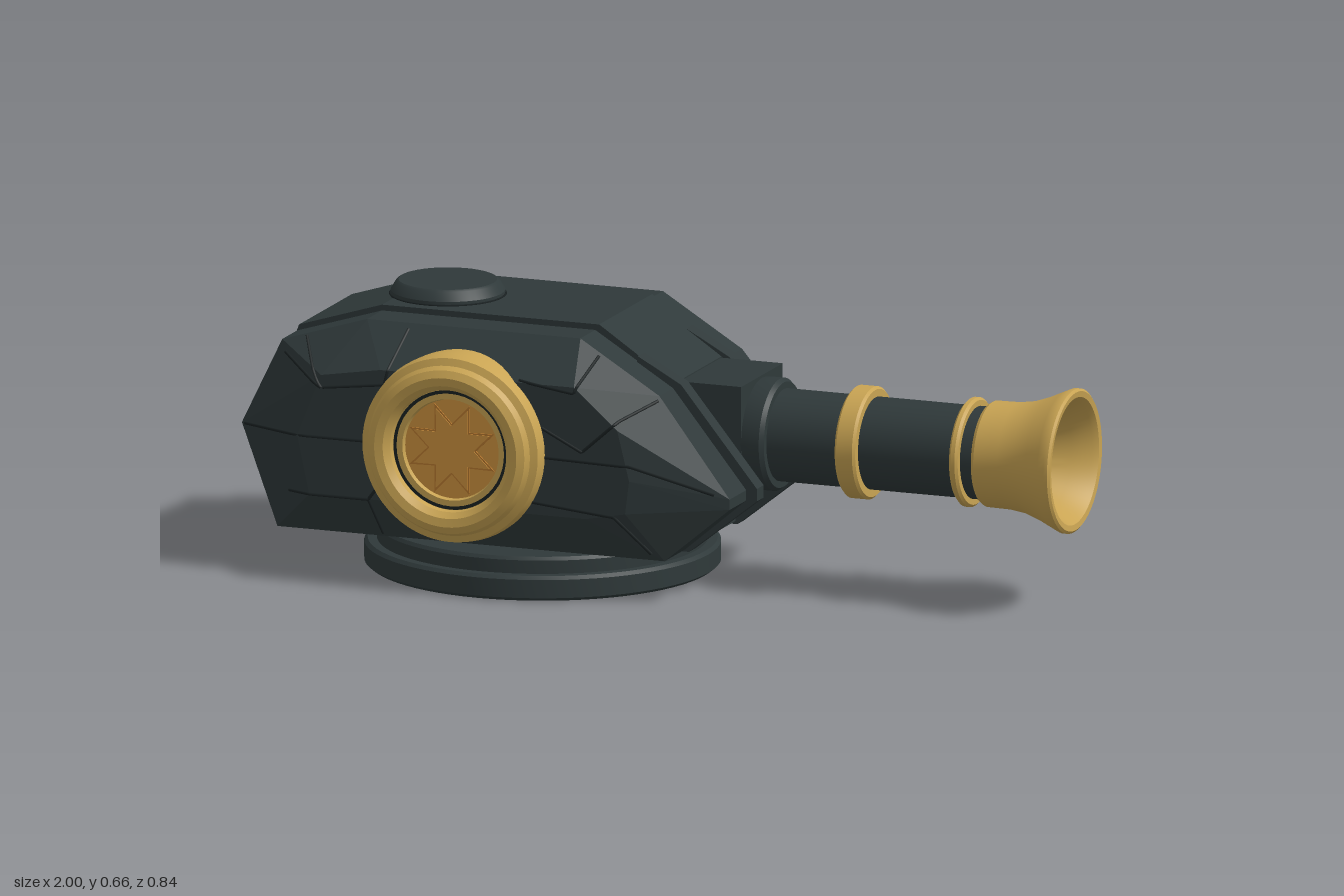
import * as THREE from 'three';
import { ConvexGeometry } from 'three/addons/geometries/ConvexGeometry.js';
import { toCreasedNormals } from 'three/addons/utils/BufferGeometryUtils.js';

const mat = (name, color) => new THREE.MeshStandardMaterial({ name, color });

export function createModel() {
  const root = new THREE.Group();
  root.name = 'cannonTurret';
  const dark = mat('darkSteel', 0x2f393a);
  const seamDark = mat('seamShade', 0x1b2223);
  const gold = mat('gold', 0xc9a453);
  const orange = mat('amber', 0xcf933f);
  const amberDark = mat('deepAmber', 0xb97a30);

  const add = (name, geo, material, parent = root) => {
    const mesh = new THREE.Mesh(geo, material);
    mesh.name = name;
    parent.add(mesh);
    return mesh;
  };
  const lathe = (pts, seg = 64) => toCreasedNormals(
    new THREE.LatheGeometry(pts.map(([r, h]) => new THREE.Vector2(r, h)), seg), 0.5);
  const slab = (pts, z0, z1) => new THREE.ExtrudeGeometry(
    new THREE.Shape(pts.map(([x, y]) => new THREE.Vector2(x, y))),
    { depth: z1 - z0, bevelEnabled: false }).translate(0, 0, z0);
  const box = (x0, x1, y0, y1, w) => new THREE.BoxGeometry(x1 - x0, y1 - y0, w)
    .translate((x0 + x1) / 2, (y0 + y1) / 2, 0);

  // Stepped round base
  add('base', lathe([[0, 0], [0.41, 0], [0.42, 0.008], [0.42, 0.052], [0.412, 0.06], [0.39, 0.06],
    [0.39, 0.092], [0.384, 0.1], [0, 0.1]], 72).translate(-0.35, 0, 0), dark);

  // Central spine, slightly proud of the side armour, open below the barrel
  add('spine', slab([[-0.985, 0.34], [-0.87, 0.12], [-0.84, 0.1], [0.05, 0.1], [0.05, 0.5],
    [-0.14, 0.626], [-0.69, 0.626], [-0.9, 0.56]], -0.168, 0.168), dark);

  // Faceted side armour: inner outline, shoulder outline and flat outer face
  const outline = [[-1, 0.34], [-0.905, 0.545], [-0.69, 0.612], [-0.15, 0.612], [0.05, 0.49],
    [0.235, 0.26], [0.235, 0.235], [0.08, 0.103], [-0.9, 0.103]];
  const outerFace = [[-0.83, 0.34], [-0.77, 0.49], [-0.62, 0.515], [-0.13, 0.515], [-0.02, 0.42],
    [0.01, 0.3], [0, 0.22], [-0.1, 0.2], [-0.8, 0.2]];
  const hullPoints = sign => [
    ...outline.map(([x, y]) => new THREE.Vector3(x, y, sign * 0.155)),
    ...outline.map(([x, y]) => new THREE.Vector3(x, y, sign * (y < 0.15 ? 0.305 : y > 0.45 ? 0.262 : 0.28))),
    ...outerFace.map(([x, y]) => new THREE.Vector3(x, y, sign * 0.355)),
  ];
  const rail = [[-0.04, 0.56], [0.07, 0.5], [0.262, 0.265], [0.262, 0.235], [0.09, 0.098], [-0.1, 0.1]];
  const seams = [
    [[-0.99, 0.34], [-0.64, 0.34]],
    [[-0.21, 0.34], [0.01, 0.335], [0.2, 0.27]],
    [[-0.84, 0.56], [-0.77, 0.46], [-0.61, 0.48], [-0.58, 0.6]],
    [[-0.89, 0.52], [-0.77, 0.46]],
    [[-0.27, 0.52], [-0.13, 0.5], [-0.1, 0.575]],
    [[-0.21, 0.41], [-0.11, 0.36], [-0.02, 0.44], [0.05, 0.48]],
    [[-0.62, 0.24], [-0.65, 0.2], [-0.63, 0.11]],
    [[-0.86, 0.2], [-0.65, 0.2]],
    [[-0.24, 0.23], [-0.03, 0.21], [0.05, 0.12]],
  ];
  for (const sign of [1, -1]) {
    const side = sign > 0 ? 'front' : 'back';
    const armour = add(side + 'Armour', new ConvexGeometry(hullPoints(sign)), dark);
    add(side + 'NoseRail', slab(rail, sign > 0 ? 0.132 : -0.175, sign > 0 ? 0.175 : -0.132), dark);

    // Panel seams laid onto the armour surface
    const ray = new THREE.Raycaster();
    for (const line of seams) {
      const pts = [];
      for (let i = 0; i + 1 < line.length; i++) {
        const [a, b] = [line[i], line[i + 1]];
        for (let k = 0; k <= 10; k++) {
          if (i && !k) continue;
          const t = k / 10;
          ray.set(new THREE.Vector3(a[0] + (b[0] - a[0]) * t, a[1] + (b[1] - a[1]) * t, sign),
            new THREE.Vector3(0, 0, -sign));
          const hit = ray.intersectObject(armour)[0];
          if (hit) pts.push(hit.point);
        }
      }
      if (pts.length < 2) continue;
      const path = new THREE.CurvePath();
      for (let i = 0; i + 1 < pts.length; i++) path.add(new THREE.LineCurve3(pts[i], pts[i + 1]));
      add(side + 'Seam', new THREE.TubeGeometry(path, pts.length * 2, 0.004, 5), seamDark);
    }

    // Round side medallion with a star
    const medal = new THREE.Group();
    medal.name = side + 'Medallion';
    medal.position.set(-0.43, 0.345, 0);
    if (sign < 0) medal.rotation.y = Math.PI;
    root.add(medal);
    add('medallionRing', lathe([[0.225, 0.3], [0.227, 0.36], [0.222, 0.388], [0.205, 0.395], [0.197, 0.41],
      [0.18, 0.419], [0.16, 0.415], [0.147, 0.4], [0.145, 0.385], [0.138, 0.385], [0.122, 0.385], [0.118, 0.37]])
      .rotateX(Math.PI / 2), gold, medal);
    add('medallionGroove', new THREE.RingGeometry(0.136, 0.144, 48).translate(0, 0, 0.3865), seamDark, medal);
    add('medallionDisc', new THREE.CircleGeometry(0.121, 48).translate(0, 0, 0.374), orange, medal);
    const star = (r, inner) => Array.from({ length: 16 }, (_, i) => {
      const q = i % 2 ? inner : r, a = i * Math.PI / 8 + Math.PI / 8;
      return [q * Math.cos(a), q * Math.sin(a)];
    });
    add('starOutline', slab(star(0.116, 0.061), 0.373, 0.377), amberDark, medal);
    add('star', slab(star(0.104, 0.056), 0.374, 0.379), orange, medal);
  }

  // Roof hatch
  add('hatch', lathe([[0.135, 0.615], [0.135, 0.636], [0.122, 0.657], [0.116, 0.661], [0, 0.661]], 48)
    .translate(-0.59, 0, 0), dark);
  add('hatchSeam', new THREE.TorusGeometry(0.136, 0.003, 5, 48).rotateX(Math.PI / 2)
    .translate(-0.59, 0.627, 0), seamDark);

  // Barrel housing and lower nose plate
  add('barrelHousing', box(0, 0.205, 0.24, 0.497, 0.264), dark);
  add('lowerNosePlate', box(0, 0.085, 0.105, 0.18, 0.27), dark);

  // Barrel parts turned around the x axis
  const turned = (name, pts, material) =>
    add(name, lathe(pts).rotateZ(-Math.PI / 2).translate(0, 0.358, 0), material);
  turned('barrelCollar', [[0, 0.19], [0.13, 0.19], [0.134, 0.215], [0.134, 0.25], [0.126, 0.26], [0.1, 0.26]], dark);
  turned('barrel', [[0.11, 0.2], [0.11, 0.85], [0, 0.85]], dark);
  const band = (name, x0, x1, r) => turned(name,
    [[0.1, x0], [r - 0.006, x0], [r, x0 + 0.006], [r, x1 - 0.006], [r - 0.006, x1], [0.1, x1]], gold);
  band('wideBand', 0.44, 0.492, 0.134);
  band('narrowBand', 0.728, 0.75, 0.13);
  turned('muzzle', [[0.1, 0.782], [0.121, 0.782], [0.126, 0.79], [0.127, 0.85], [0.133, 0.89], [0.147, 0.93],
    [0.164, 0.967], [0.172, 0.985], [0.172, 0.995], [0.166, 1], [0.152, 0.998], [0.142, 0.985], [0.122, 0.94],
    [0.104, 0.89], [0.092, 0.845]], gold);
  return root;
}
